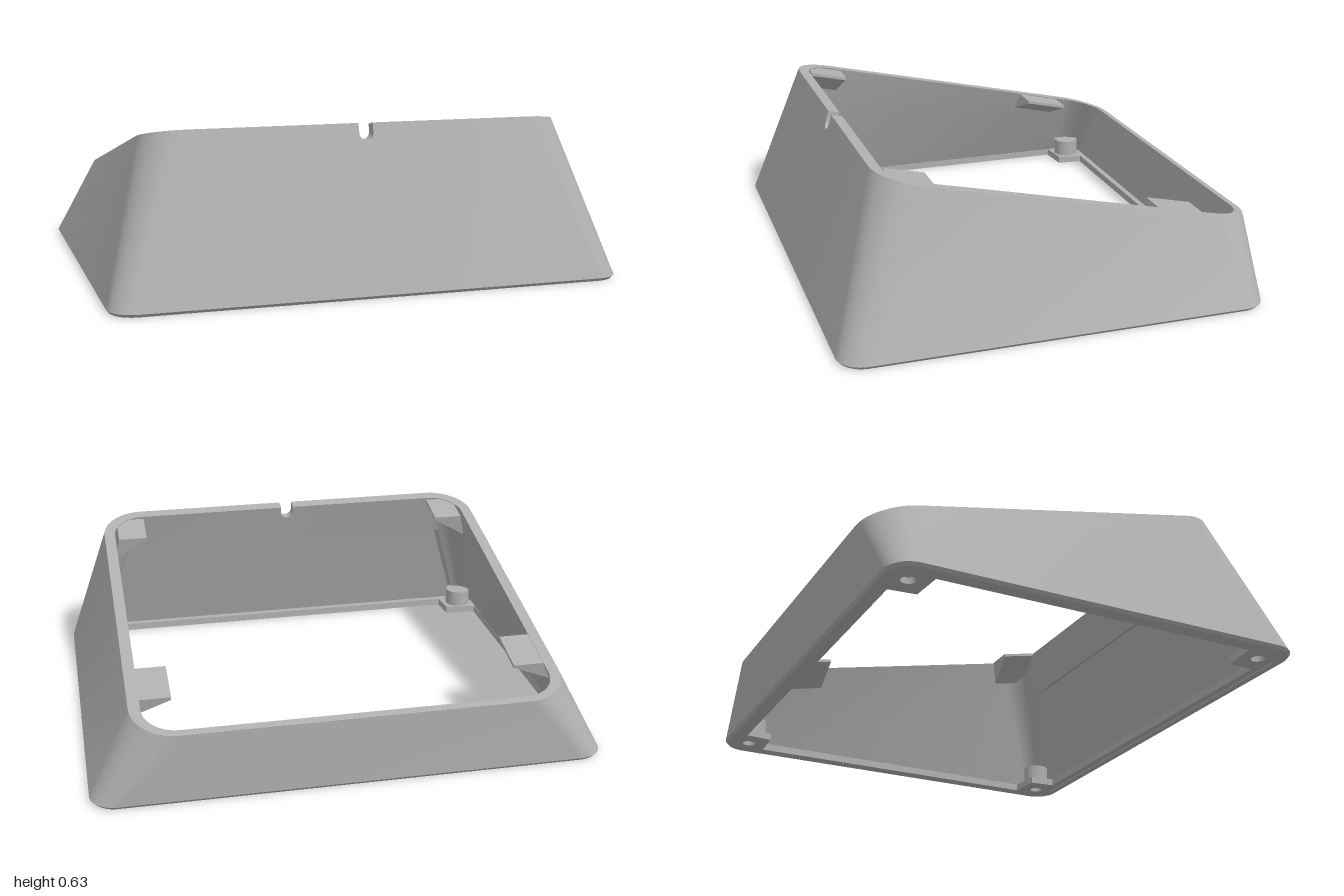
import * as THREE from 'three';
import { toCreasedNormals } from 'three/addons/utils/BufferGeometryUtils.js';

const SLOPE = 0.224;
const rimY = (z) => 0.63 - SLOPE * (0.65 - z); // sloping top plane
const SEG = 10;

// Rounded rectangle, counterclockwise from above; the front edge carries the
// cable notch points, whose lowered rim height is stored in w.
function ring(hx, zf, zb, r, yAt) {
  const pts = [];
  const add = (x, z, notchY = -1, front = false) => pts.push({ x, y: yAt(z), z, notchY, front });
  const w = 0.028, floor = 0.593;
  add(-w, zf, -1, true);
  for (let i = 0; i <= 10; i++) {
    const a = Math.PI * (1 + i / 10);
    add(w * Math.cos(a), zf, floor + w * Math.sin(a), true);
  }
  add(w, zf, -1, true);
  const corners = [[hx - r, zf - r, 0], [hx - r, zb + r, 1], [r - hx, zb + r, 2], [r - hx, zf - r, 3]];
  for (const [cx, cz, q] of corners) {
    for (let i = 0; i <= SEG; i++) {
      const a = (q + i / SEG) * Math.PI / 2;
      const front = (q === 0 && i === 0) || (q === 3 && i === SEG);
      add(cx + r * Math.sin(a), cz + r * Math.cos(a), -1, front);
    }
  }
  return pts;
}

// Point-by-point blend between two rings
const blend = (a, b, tAt) => a.map((p, i) => {
  const q = b[i], t = tAt(p, q);
  return { ...p, x: p.x + (q.x - p.x) * t, y: p.y + (q.y - p.y) * t, z: p.z + (q.z - p.z) * t };
});
const notched = (bottom, top) =>
  blend(bottom, top, (p, q) => (p.notchY > 0 ? (p.notchY - p.y) / (q.y - p.y) : 1));
const recess = (pts) => pts.map((p) => ({ ...p, z: p.z + (p.front ? 0.014 : 0) }));

// Skin a closed sequence of rings
function loft(rings) {
  const pos = [], idx = [], n = rings[0].length;
  rings.forEach((pts, k) => {
    for (const p of pts) pos.push(p.x, p.y, p.z);
    const k2 = (k + 1) % rings.length;
    for (let i = 0; i < n; i++) {
      const j = (i + 1) % n;
      const a = k * n + i, b = k * n + j, c = k2 * n + j, d = k2 * n + i;
      idx.push(a, b, c, a, c, d);
    }
  });
  const g = new THREE.BufferGeometry();
  g.setAttribute('position', new THREE.Float32BufferAttribute(pos, 3));
  g.setIndex(idx);
  return toCreasedNormals(g, 0.5);
}

export function createModel() {
  const model = new THREE.Group();
  const grey = new THREE.MeshStandardMaterial({ color: 0xb0b0b0 });
  grey.name = 'plain grey';
  const add = (geometry, name) => {
    const mesh = new THREE.Mesh(geometry, grey);
    mesh.name = name;
    model.add(mesh);
    return mesh;
  };

  // Hollow tapered shell with sloping rim, notch and a recessed front panel inside
  const outerLow = ring(1, 0.845, -0.83, 0.1, () => 0.012);
  const outerTop = ring(0.835, 0.65, -0.847, 0.17, rimY);
  const innerLow = ring(0.95, 0.795, -0.79, 0.08, () => 0);
  const innerTop = ring(0.79, 0.605, -0.817, 0.13, rimY);
  const ledge = blend(innerLow, innerTop, () => 0.71);
  add(loft([
    ring(0.99, 0.835, -0.82, 0.092, () => 0),
    outerLow,
    notched(outerLow, outerTop),
    notched(innerLow, innerTop),
    ledge,
    recess(ledge),
    recess(innerLow),
  ]), 'shell');

  // Base lip with an opening and four screw holes
  const lip = new THREE.Shape(ring(0.952, 0.797, -0.792, 0.08, () => 0).map((p) => new THREE.Vector2(p.x, -p.z)));
  const quarter = [[0.935, 0.65], [0.8, 0.66], [0.79, 0.768]];
  const mirrored = (sx, sz) => quarter.map(([x, z]) => new THREE.Vector2(x * sx, z * sz));
  lip.holes.push(new THREE.Path([
    ...mirrored(1, 1), ...mirrored(-1, 1).reverse(), ...mirrored(-1, -1), ...mirrored(1, -1).reverse(),
  ]));
  for (const sx of [1, -1]) {
    for (const sz of [1, -1]) {
      lip.holes.push(new THREE.Path().absarc(sx * 0.885, sz * 0.73, 0.028, 0, Math.PI * 2, true));
      // Screw boss above each hole
      const boss = add(new THREE.CylinderGeometry(0.056, 0.056, 0.075, 24), 'screwBoss');
      boss.position.set(sx * 0.87, 0.0625, sz * 0.72);
    }
  }
  const lipGeo = new THREE.ExtrudeGeometry(lip, { depth: 0.03, bevelEnabled: false, curveSegments: 16 });
  lipGeo.rotateX(-Math.PI / 2);
  add(lipGeo, 'baseLip');

  // Wedge tabs under the sloping rim
  const tilt = Math.atan(SLOPE);
  const tab = (name, side, tip, wall, z0, z1, deep) => {
    const profile = [[tip, 0], [wall, 0], [wall + 0.025, -deep], [tip, -0.012]];
    const shape = new THREE.Shape(profile.map(([x, y]) => new THREE.Vector2(x * side, y)));
    const geo = new THREE.ExtrudeGeometry(shape, { depth: (z1 - z0) / Math.cos(tilt), bevelEnabled: false });
    const mesh = add(geo, name);
    mesh.rotation.x = -tilt;
    mesh.position.set(0, rimY(z0) - 0.003, z0);
  };
  for (const side of [1, -1]) {
    tab('backTab', side, 0.67, 0.805, -0.63, -0.445, 0.08);
    tab('frontTab', side, 0.655, 0.775, 0.44, 0.595, 0.1);
  }
  return model;
}
